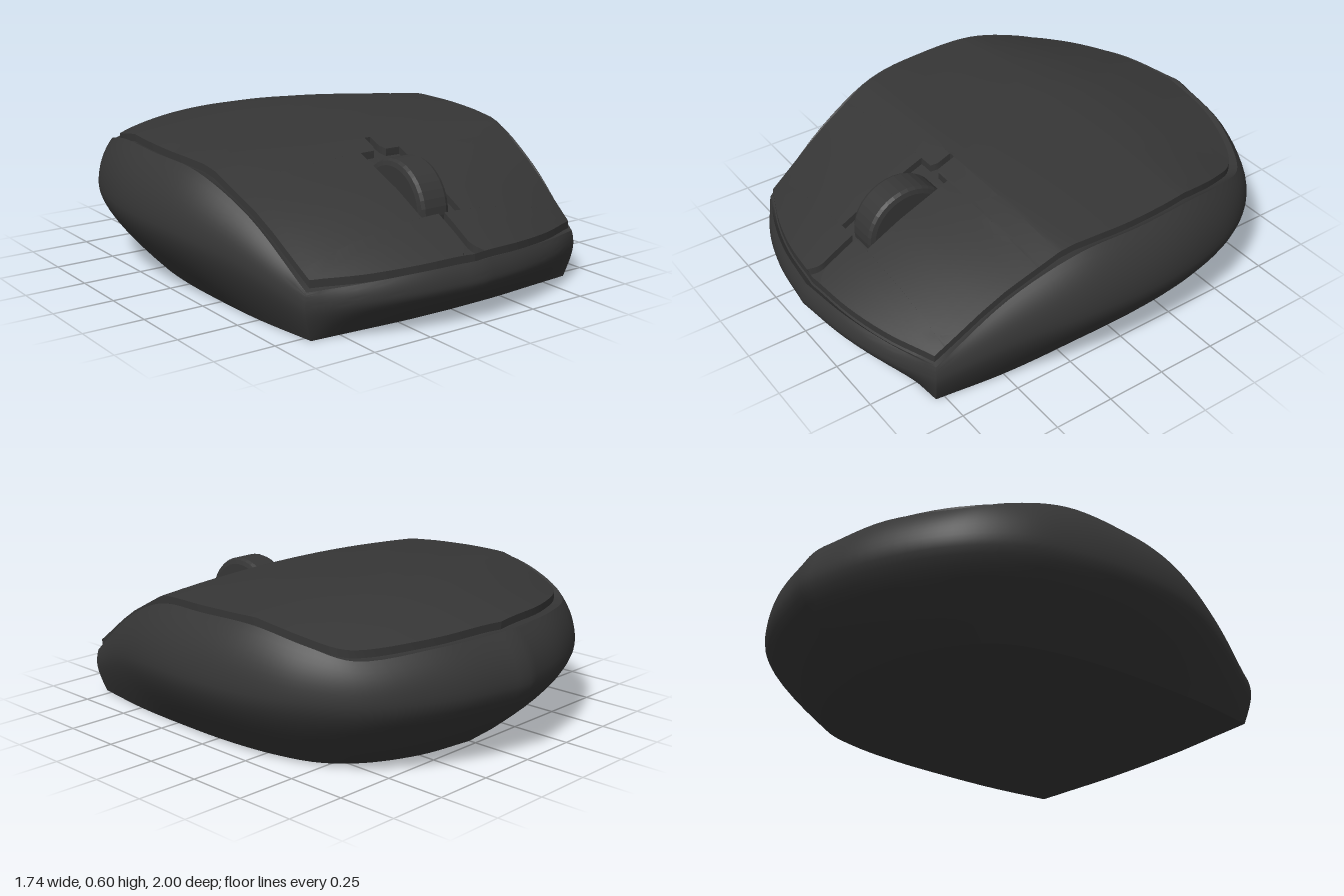
import * as THREE from 'three';
import { toCreasedNormals } from 'three/addons/utils/BufferGeometryUtils.js';

const material = new THREE.MeshStandardMaterial({ color: 0x363636 });
const V = (x, y, z) => new THREE.Vector3(x, y, z);

// Piecewise-linear lookup in a list of [key, value] with rising keys
function lookup(table, k) {
  if (k <= table[0][0]) return table[0][1];
  for (let i = 1; i < table.length; i++) {
    const [k0, v0] = table[i - 1], [k1, v1] = table[i];
    if (k <= k1) return v0 + (v1 - v0) * (k - k0) / (k1 - k0 || 1);
  }
  return table[table.length - 1][1];
}

// Height of the top shell: centre-line profile minus a sideways crown
const crest = [[-0.86, 0.51], [-0.65, 0.56], [-0.5, 0.588], [-0.4, 0.6], [-0.28, 0.605], [-0.1, 0.598],
  [0.1, 0.584], [0.28, 0.565], [0.4, 0.518], [0.6, 0.437], [0.8, 0.335], [0.95, 0.248]];
const crown = [[-0.86, 0.2], [-0.66, 0.19], [-0.5, 0.14], [-0.3, 0.075], [0, 0.06], [0.22, 0.05],
  [0.5, 0.12], [0.8, 0.28], [0.95, 0.36]];
const shellHeight = (x, z) => lookup(crest, z) - lookup(crown, z) * x * x;

// Half outline: a front arc and a side/back arc that meet in a sharp corner
function halfOutline(front, side) {
  const a = new THREE.CatmullRomCurve3(front.map(p => V(...p))).getPoints(14);
  const b = new THREE.CatmullRomCurve3(side.map(p => V(...p))).getPoints(48);
  return a.concat(b.slice(1));
}
const fullOutline = half =>
  half.concat(half.slice(1, -1).reverse().map(p => V(-p.x, p.y, p.z)));

// Skin between closed rings that all have the same number of points
function loft(rings, name) {
  const n = rings[0].length, pos = [], index = [];
  rings.forEach(r => r.forEach(p => pos.push(p.x, p.y, p.z)));
  for (let j = 0; j < rings.length - 1; j++) {
    for (let i = 0; i < n; i++) {
      const a = j * n + i, b = j * n + (i + 1) % n;
      index.push(a, b, b + n, a, b + n, a + n);
    }
  }
  const g = new THREE.BufferGeometry();
  g.setAttribute('position', new THREE.Float32BufferAttribute(pos, 3));
  g.setIndex(index);
  const mesh = new THREE.Mesh(toCreasedNormals(g, 0.6), material);
  mesh.name = name;
  return mesh;
}

// Outlines, from front centre round to back centre
const bottomHalf = halfOutline(
  [[0, 0, 0.82], [0.22, 0, 0.815], [0.42, 0, 0.8], [0.62, 0, 0.785]],
  [[0.62, 0, 0.785], [0.655, 0, 0.5], [0.665, 0, 0.22], [0.66, 0, -0.05], [0.63, 0, -0.28],
    [0.57, 0, -0.46], [0.46, 0, -0.58], [0.25, 0, -0.68], [0, 0, -0.72]]);
const bulgeHalf = halfOutline(
  [[0, 0.16, 1], [0.25, 0.155, 0.965], [0.46, 0.145, 0.9], [0.655, 0.13, 0.8]],
  [[0.655, 0.13, 0.8], [0.765, 0.25, 0.5], [0.845, 0.3, 0.22], [0.87, 0.31, -0.05], [0.845, 0.31, -0.32],
    [0.77, 0.31, -0.56], [0.62, 0.3, -0.76], [0.33, 0.3, -0.92], [0, 0.3, -1]]);
const rimHalf = halfOutline(
  [[0, 0.235, 0.975], [0.24, 0.228, 0.942], [0.45, 0.21, 0.88], [0.647, 0.19, 0.795]],
  [[0.647, 0.19, 0.795], [0.695, 0.405, 0.5], [0.745, 0.522, 0.22], [0.77, 0.542, -0.05], [0.757, 0.544, -0.32],
    [0.705, 0.5, -0.54], [0.62, 0.46, -0.69], [0.33, 0.48, -0.84], [0, 0.49, -0.9]]);
const shellHalf = halfOutline(
  [[0, 0, 0.945], [0.22, 0, 0.922], [0.42, 0, 0.872], [0.63, 0, 0.79]],
  [[0.63, 0, 0.79], [0.67, 0, 0.5], [0.715, 0, 0.22], [0.742, 0, -0.03], [0.728, 0, -0.3],
    [0.675, 0, -0.52], [0.6, 0, -0.66], [0.32, 0, -0.8], [0, 0, -0.855]]);

// Lower body: base plate, rounded flanks, rim, and a recessed deck under the shell
function createBody() {
  const [bottom, bulge, rim, edge] = [bottomHalf, bulgeHalf, rimHalf, shellHalf].map(fullOutline);
  const rings = [bottom.map(() => V(0, 0, 0))];
  const arc = (from, to, pull, first) => {
    for (let k = first; k <= 8; k++) {
      rings.push(from.map((p, i) => {
        const q = to[i], outer = p.y === 0 ? q : p;
        const control = V(outer.x, p.y + (q.y - p.y) * pull, outer.z);
        return new THREE.QuadraticBezierCurve3(p, control, q).getPoint(k / 8);
      }));
    }
  };
  arc(bottom, bulge, 0.7, 0);
  arc(bulge, rim, 0.55, 1);
  for (const [s, drop] of [[1.005, 0.035], [0.97, 0.045], [0.85, 0.06], [0.7, 0.06],
    [0.52, 0.06], [0.35, 0.06], [0.18, 0.06], [0, 0.06]]) {
    rings.push(edge.map(p => V(p.x * s, shellHeight(p.x * s, p.z * s) - drop, p.z * s)));
  }
  return loft(rings, 'body');
}

// Inner edge of a shell half: finger notch, wheel slot and button split
function innerEdge(z) {
  if (z < 0.285) return 0;
  if (z < 0.345) return 0.014;
  if (z < 0.37) return 0.014 + (z - 0.345) * 0.6;
  if (z < 0.75) return 0.095;
  return 0.014 + Math.max(0, (z - 0.88) / 0.06) ** 2 * 0.04;
}

// Top shell half: thin plate lofted from front to back
function createShellHalf(side) {
  const outer = shellHalf.map(p => [p.z, p.x]).reverse();
  const steps = [0.2849, 0.285, 0.345, 0.3699, 0.37, 0.7499, 0.75, 0.9, 0.915, 0.93];
  const rows = outer.map(o => o[0]).concat(steps).sort((a, b) => b - a);
  const rings = rows.map(z => {
    const xo = lookup(outer, z), xi = Math.min(innerEdge(z), xo), top = [], under = [];
    for (let k = 0; k <= 12; k++) {
      const x = xi + (xo - xi) * k / 12, y = shellHeight(x, z);
      top.push(V(side * x, y, z));
      under.unshift(V(side * x, y - 0.03, z));
    }
    const ring = top.concat(under);
    return side > 0 ? ring : ring.reverse();
  });
  return loft(rings, side > 0 ? 'leftShell' : 'rightShell');
}

// Scroll wheel with rounded shoulders
function createWheel() {
  const profile = [[0, -0.07], [0.165, -0.07], [0.183, -0.064], [0.19, -0.05],
    [0.19, 0.05], [0.183, 0.064], [0.165, 0.07], [0, 0.07]].map(p => new THREE.Vector2(...p));
  const g = toCreasedNormals(new THREE.LatheGeometry(profile, 36), 0.15);
  const wheel = new THREE.Mesh(g, material);
  wheel.name = 'scrollWheel';
  wheel.rotation.z = Math.PI / 2;
  wheel.position.set(0, 0.342, 0.53);
  return wheel;
}

export function createModel() {
  const group = new THREE.Group();
  group.name = 'computerMouse';
  group.add(createBody(), createShellHalf(1), createShellHalf(-1), createWheel());
  return group;
}
